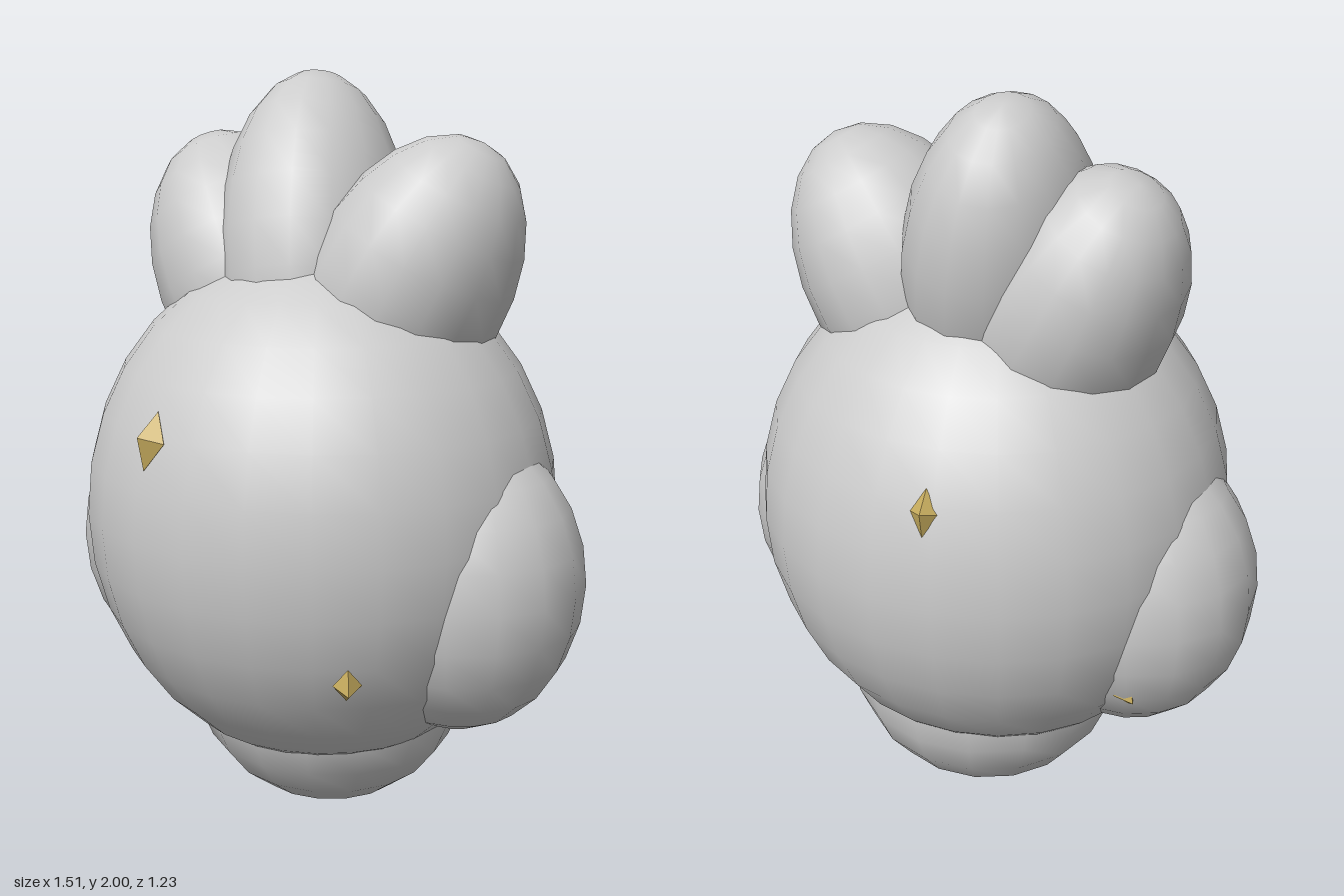
import * as THREE from 'three';

export function createModel() {
  const model = new THREE.Group();
  const grey = new THREE.MeshStandardMaterial({ color: 0xcccccc });
  grey.name = 'paleGrey';
  const gold = new THREE.MeshStandardMaterial({ color: 0xc9ae5f, flatShading: true });
  gold.name = 'gold';

  // A smooth ellipsoid lobe, optionally tilted
  function lobe(name, pos, radii, rot = [0, 0, 0], segments = 16, rings = 12) {
    const mesh = new THREE.Mesh(new THREE.SphereGeometry(1, segments, rings), grey);
    mesh.name = name;
    mesh.position.set(...pos);
    mesh.scale.set(...radii);
    mesh.rotation.set(...rot);
    model.add(mesh);
  }

  // Main body and the rounded base under it
  const bodyY = 0.86;
  const bodyRadii = [0.64, 0.7, 0.617];
  lobe('body', [0, bodyY, 0], bodyRadii, [0, 0, 0], 24, 16);
  lobe('base', [0, 0.38, -0.045], [0.39, 0.375, 0.385]);

  // Leaning middle crest
  lobe('middleCrest', [-0.045, 1.55, -0.04], [0.245, 0.472, 0.295], [-0.31, 0, 0.17]);

  // Mirrored side lobes and outer crests
  for (const [side, s] of [['left', 1], ['right', -1]]) {
    lobe(side + 'SideLobe', [s * 0.42, 0.72, 0], [0.333, 0.402, 0.32]);
    lobe(side + 'Crest', [s * 0.235, 1.46, -0.035], [0.263, 0.415, 0.284], [-0.12, 0, -s * 0.483]);
  }

  // Small faceted gems set into the body, facing along its surface normal
  const gems = [
    ['frontGem', [-0.133, 1.12, 0.557], [0.05, 0.075, 0.045]],
    ['lowerFrontGem', [0.36, 0.555, 0.44], [0.036, 0.052, 0.042]],
    ['backGem', [-0.13, 1.11, -0.557], [0.035, 0.06, 0.035]],
    ['lowerBackGem', [-0.52, 0.53, -0.235], [0.035, 0.05, 0.042]],
  ];
  for (const [name, pos, size] of gems) {
    const gem = new THREE.Mesh(new THREE.OctahedronGeometry(1), gold);
    gem.name = name;
    gem.position.set(...pos);
    gem.scale.set(...size);
    const normal = new THREE.Vector3(
      pos[0] / bodyRadii[0] ** 2,
      (pos[1] - bodyY) / bodyRadii[1] ** 2,
      pos[2] / bodyRadii[2] ** 2
    );
    gem.lookAt(gem.position.clone().add(normal));
    model.add(gem);
  }

  return model;
}
